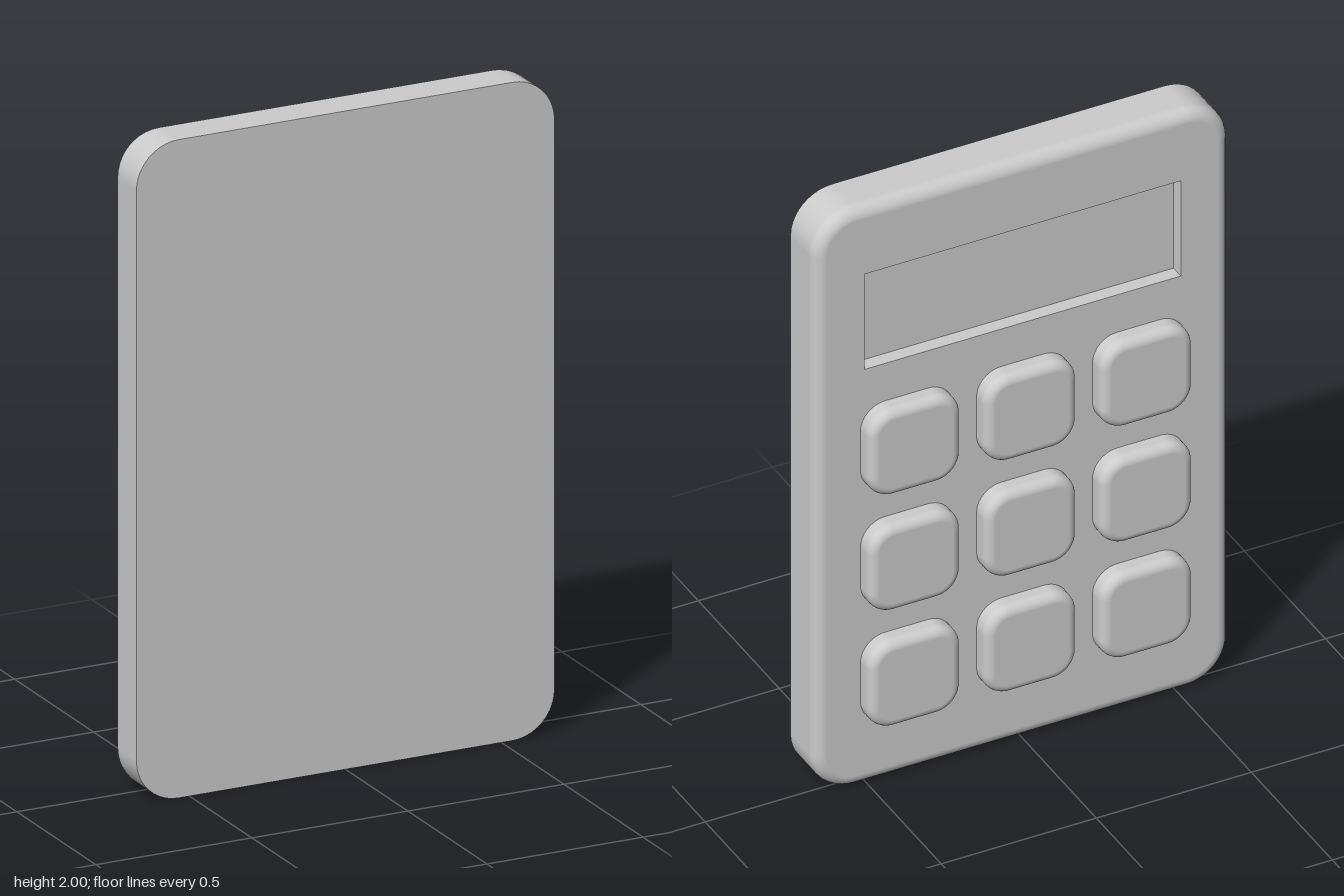
import * as THREE from 'three';
import { mergeGeometries } from 'three/addons/utils/BufferGeometryUtils.js';

const material = new THREE.MeshStandardMaterial({ color: 0xcccccc });
const CORNER_STEPS = 10;
const FILLET_STEPS = 6;

// Outline of a rounded rectangle (counter-clockwise) with outward directions
function outline(w, h, r, inset) {
  const points = [], normals = [];
  const corners = [[1, 1], [-1, 1], [-1, -1], [1, -1]];
  corners.forEach(([sx, sy], c) => {
    for (let i = 0; i <= CORNER_STEPS; i++) {
      const a = (c + i / CORNER_STEPS) * Math.PI / 2;
      const n = new THREE.Vector2(Math.cos(a), Math.sin(a));
      normals.push(n);
      points.push(new THREE.Vector2(
        sx * (w / 2 - r) + n.x * (r - inset),
        sy * (h / 2 - r) + n.y * (r - inset)));
    }
  });
  return { points, normals };
}

// Rounded slab from z = 0 to z = depth, filleted round its +z edge only
function slab(w, h, r, depth, fillet, hole) {
  const pos = [], nor = [], uv = [], index = [];
  const count = 4 * (CORNER_STEPS + 1);
  const rings = [[0, 0, 0]];
  for (let i = 0; i <= FILLET_STEPS; i++) {
    const t = i / FILLET_STEPS * Math.PI / 2;
    rings.push([fillet * (1 - Math.cos(t)), depth - fillet * (1 - Math.sin(t)), t]);
  }
  rings.forEach(([inset, z, t], k) => {
    const { points, normals } = outline(w, h, r, inset);
    points.forEach((p, i) => {
      pos.push(p.x, p.y, z);
      nor.push(normals[i].x * Math.cos(t), normals[i].y * Math.cos(t), Math.sin(t));
      uv.push(i / count, k / rings.length);
      if (k === 0) return;
      const a = (k - 1) * count + i, b = (k - 1) * count + (i + 1) % count;
      index.push(a, b, b + count, a, b + count, a + count);
    });
  });
  const side = new THREE.BufferGeometry();
  side.setAttribute('position', new THREE.Float32BufferAttribute(pos, 3));
  side.setAttribute('normal', new THREE.Float32BufferAttribute(nor, 3));
  side.setAttribute('uv', new THREE.Float32BufferAttribute(uv, 2));
  side.setIndex(index);

  const face = new THREE.Shape(outline(w, h, r, fillet).points);
  if (hole) face.holes.push(hole);
  const top = new THREE.ShapeGeometry(face).translate(0, 0, depth);
  const base = new THREE.ShapeGeometry(new THREE.Shape(outline(w, h, r, 0).points)).rotateY(Math.PI);
  return mergeGeometries([side, top, base]);
}

// Open tray: a floor and four inward-facing walls, rim at z = 0
function tray(w, h, depth) {
  const parts = [new THREE.PlaneGeometry(w, h).translate(0, 0, -depth)];
  for (let i = 0; i < 4; i++) {
    const [length, reach] = i % 2 ? [h, w] : [w, h];
    parts.push(new THREE.PlaneGeometry(length, depth)
      .rotateX(Math.PI / 2)
      .translate(0, reach / 2, -depth / 2)
      .rotateZ(i * Math.PI / 2));
  }
  return mergeGeometries(parts);
}

export function createModel() {
  const model = new THREE.Group();
  model.name = 'calculator';
  const add = (name, geometry, x, y, z) => {
    const mesh = new THREE.Mesh(geometry, material);
    mesh.name = name;
    mesh.position.set(x, y, z);
    model.add(mesh);
  };

  const thickness = 0.15, backZ = -0.105, faceZ = backZ + thickness;
  const screen = { w: 1.02, h: 0.33, y: 1.605, depth: 0.045 };

  // Case with a rectangular opening for the display
  const x = screen.w / 2, y0 = screen.y - 1 - screen.h / 2, y1 = y0 + screen.h;
  const opening = new THREE.Path([[-x, y0], [-x, y1], [x, y1], [x, y0]]
    .map(([px, py]) => new THREE.Vector2(px, py)));
  add('case', slab(1.34, 2, 0.135, thickness, 0.04, opening), 0, 1, backZ);

  // Sunken display
  add('display', tray(screen.w, screen.h, screen.depth), 0, screen.y, faceZ);

  // Three by three keypad
  const key = slab(0.297, 0.297, 0.08, 0.06, 0.03);
  for (let row = 0; row < 3; row++) {
    for (let col = -1; col <= 1; col++) {
      add(`key${row * 3 + col + 2}`, key, col * 0.374, 1.162 - row * 0.401, faceZ);
    }
  }

  // The keypad side looks towards -z
  model.rotation.y = Math.PI;
  const root = new THREE.Group();
  root.add(model);
  return root;
}
